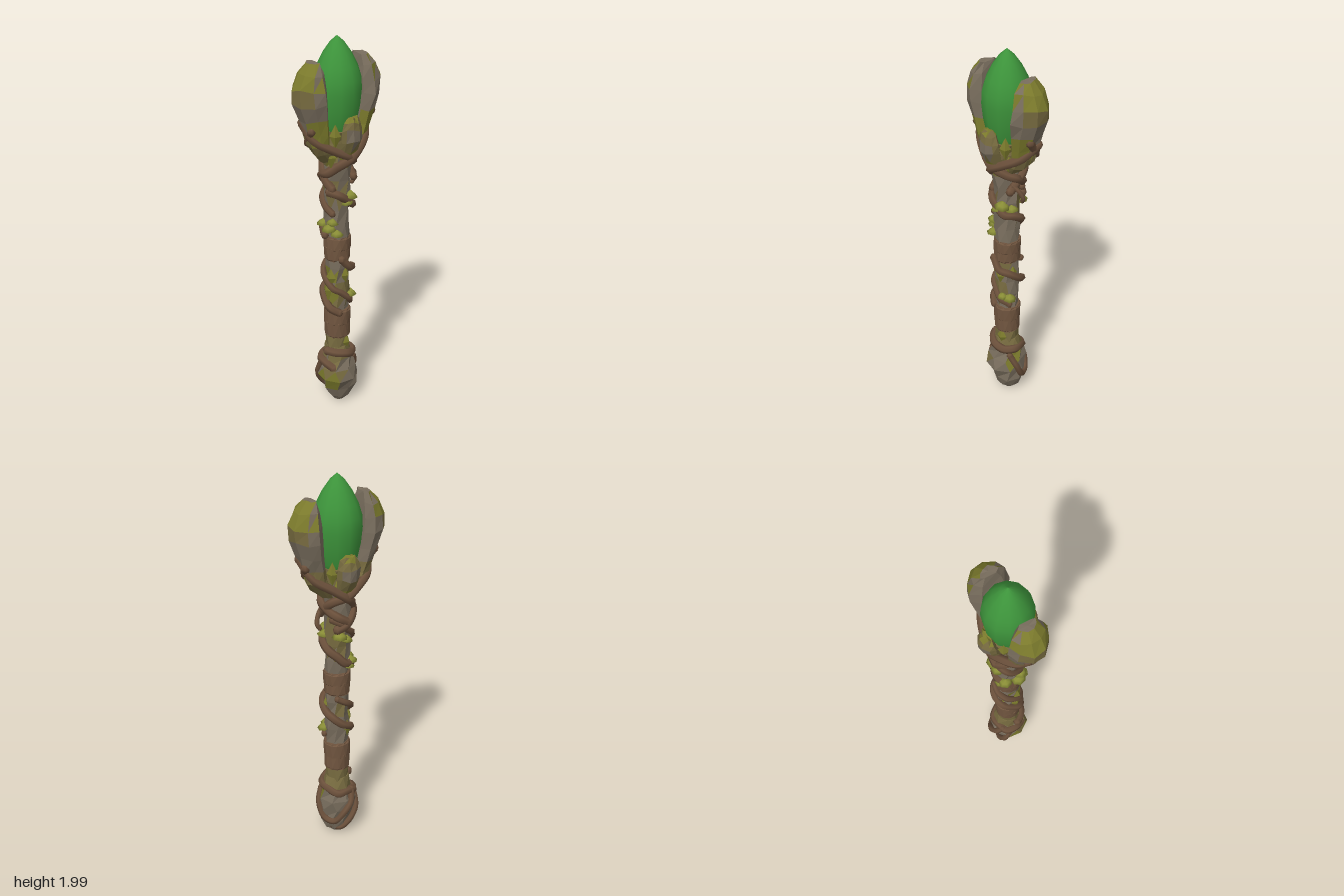
import * as THREE from 'three';

const mat = (name, color) => {
  const m = new THREE.MeshStandardMaterial({ color });
  m.name = name;
  return m;
};

// Seeded noise in -1..1
const noise = (a, b = 0) => {
  const s = Math.sin(a * 127.1 + b * 311.7) * 43758.5453;
  return 2 * (s - Math.floor(s)) - 1;
};

const polar = (deg, y, r) => {
  const a = THREE.MathUtils.degToRad(deg); // 0 is the front, 90 is +x
  return new THREE.Vector3(Math.sin(a) * r, y, Math.cos(a) * r);
};

const middle = points => points.reduce((s, p) => s.add(p), new THREE.Vector3()).divideScalar(points.length);

// Faceted skin over stacked rings; pick(centre, normal) selects a face's material
function loft(rings, pick = () => 0) {
  const sets = [[], [], []];
  const n = rings[0].length;
  const tri = (p, q, r) => {
    const normal = q.clone().sub(p).cross(r.clone().sub(p)).normalize();
    sets[pick(middle([p, q, r]), normal)].push(p, q, r);
  };
  const low = rings[0], high = rings[rings.length - 1];
  const lowMid = middle(low), highMid = middle(high);
  for (let i = 0; i < n; i++) {
    const k = (i + 1) % n;
    for (let j = 0; j < rings.length - 1; j++) {
      tri(rings[j][i], rings[j][k], rings[j + 1][k]);
      tri(rings[j][i], rings[j + 1][k], rings[j + 1][i]);
    }
    tri(lowMid, low[k], low[i]);
    tri(highMid, high[i], high[k]);
  }
  const g = new THREE.BufferGeometry().setFromPoints(sets.flat());
  let start = 0;
  sets.forEach((set, i) => {
    g.addGroup(start, set.length, i);
    start += set.length;
  });
  g.computeVertexNormals();
  return g;
}

// Rough round rings from [y, radius, x offset]
const roundRings = (profile, sides, rough) => profile.map(([y, r, ox = 0], j) =>
  Array.from({ length: sides }, (_, i) => {
    const p = polar((i + (j % 2) * 0.3) * 360 / sides, y, r * (1 + rough * noise(i + 1, y)));
    p.x += ox;
    return p;
  }));

// Claw rings from [y, inner, outer, half width], growing towards +z
const clawSection = [[.3, 1], [.8, .68], [1, .28], [.6, 0], [-.6, 0], [-1, .28], [-.8, .68], [-.3, 1]];
const clawRings = (profile, seed) => profile.map(([y, inner, outer, w]) =>
  clawSection.map(([u, v], i) => new THREE.Vector3(
    u * w * (1 + .07 * noise(i + seed, y)),
    y + .009 * noise(i + seed, y + 3) * (y < 1.88 ? 1 : .4),
    inner + (outer - inner) * v + .004 * noise(i + seed, y + 7))));

export function createModel() {
  const model = new THREE.Group();
  model.name = 'staff';
  const stone = mat('stone', 0x786d5d);
  const mossyStone = mat('mossy stone', 0x766a3f);
  const moss = mat('moss', 0x7b7a2c);
  const bark = mat('vine bark', 0x6b503b);
  const wrap = mat('leather wrap', 0x70553f);
  const green = mat('gem green', 0x3d943b);
  const fungus = mat('fungus', 0x888c36);
  const rock = [stone, mossyStone, moss];

  const add = (name, geometry, material) => {
    const m = new THREE.Mesh(geometry, material);
    m.name = name;
    model.add(m);
    return m;
  };

  // Stone shaft, flaring into a cup, with mossy patches mostly on the front
  const shaft = [[.27, .07], [.34, .062], [.42, .06], [.5, .06], [.58, .06], [.66, .064], [.74, .06],
    [.82, .064], [.9, .06], [.98, .062], [1.06, .064], [1.14, .062], [1.22, .068], [1.3, .07],
    [1.37, .072], [1.44, .085], [1.5, .095], [1.56, .1]];
  add('shaft', loft(roundRings(shaft, 8, .1), (c, n) => {
    const v = noise(Math.round(Math.atan2(n.x, n.z) * 1.3), Math.round(c.y * 9));
    if ((c.y > .33 && c.y < .42) || c.y > 1.46) return 1;
    if (n.z < -.3) return v > .75 ? 1 : 0;
    return v > .75 ? 2 : v > .4 ? 1 : 0;
  }), rock);

  // Lumpy pommel
  const pommel = [[.008, .032, .012], [.04, .062, .015], [.1, .087, .014], [.17, .106, 0], [.23, .098, 0],
    [.29, .079, .008], [.36, .062, 0]];
  add('pommel', loft(roundRings(pommel, 8, .09), (c, n) => {
    const left = c.x < -.04 && n.z > -.2, right = c.x > .05 && n.z > -.2;
    if ((left && c.y > .12 && c.y < .2) || (right && c.y > .2 && c.y < .28)) return 2;
    return (left && c.y > .08) || c.y > .29 ? 1 : 0;
  }), rock);

  // Leather grips: two slightly tilted, overlapping bands each
  for (const [base, top] of [[.415, .578], [.862, .992]]) {
    const mid = (base + top) / 2;
    for (const [y0, y1, r, tilt] of [[base, mid + .02, .068, .04], [mid - .01, top, .07, -.05]]) {
      const band = add('gripBand', loft(roundRings(
        [[y0 - mid, r - .004], [y0 - mid + .01, r], [y1 - mid - .01, r], [y1 - mid, r - .005]], 12, .025)), [wrap, wrap, wrap]);
      band.position.y = mid;
      band.rotation.z = tilt;
    }
  }

  // Gem: smooth pointed egg
  const gemProfile = [[0, 1.46], [.07, 1.51], [.095, 1.58], [.112, 1.66], [.12, 1.74], [.117, 1.8],
    [.099, 1.86], [.069, 1.92], [.034, 1.97], [0, 2]].map(p => new THREE.Vector2(...p));
  add('gem', new THREE.LatheGeometry(gemProfile, 12), green);

  // Large claws at the sides, small ones front and back
  const large = [[1.4, .03, .09, .045], [1.45, .06, .14, .062], [1.5, .08, .172, .07], [1.56, .09, .19, .076],
    [1.63, .1, .212, .09], [1.71, .11, .243, .102], [1.78, .115, .247, .1], [1.85, .122, .215, .08], [1.897, .13, .172, .045]];
  const small = [[1.41, .04, .085, .04], [1.46, .06, .118, .052], [1.52, .075, .146, .06],
    [1.575, .085, .15, .06], [1.61, .095, .14, .048], [1.63, .1, .125, .03]];
  for (const s of [1, -1]) {
    const side = add('sideClaw', loft(clawRings(large, 4 + s), (c, n) => {
      if (c.y > 1.78 && n.z > .3) return 2;
      if (c.y > 1.5 && c.y < 1.62 && n.x * s < -.5) return 2;
      return (c.y > 1.7 && n.z > .6) || c.y < 1.55 ? 1 : 0;
    }), rock);
    side.rotation.y = s * Math.PI / 2;
    const end = add('smallClaw', loft(clawRings(small, 9 + s), (c, n) => {
      if (n.y > .5 || c.y < 1.45) return 2;
      return n.y > .1 || c.y < 1.5 || Math.abs(n.x) > .75 ? 1 : 0;
    }), rock);
    end.rotation.y = s > 0 ? 0 : Math.PI;
  }

  // Vines through [angle, y, radius]
  const vine = (points, radius) => {
    const curve = new THREE.CatmullRomCurve3(points.map(p => polar(...p)));
    add('vine', new THREE.TubeGeometry(curve, points.length * 7, radius, 6), bark);
    for (const end of [points[0], points[points.length - 1]]) {
      add('vineTip', new THREE.SphereGeometry(radius, 6, 4), bark).position.copy(polar(...end));
    }
  };
  const helix = (a0, y0, a1, y1, r, seed) => {
    const n = Math.ceil(Math.abs(a1 - a0) / 40);
    return Array.from({ length: n + 1 }, (_, i) =>
      [a0 + (a1 - a0) * i / n, y0 + (y1 - y0) * i / n + .012 * noise(i, seed), r + .006 * noise(i + 5, seed)]);
  };
  // Strands along the shaft
  vine(helix(-20, .87, 330, .56, .07, 1), .021);
  vine(helix(150, .86, 420, .6, .067, 2), .017);
  vine(helix(-70, 1.25, 260, 1, .07, 7), .022);
  vine(helix(130, 1.3, 300, 1.12, .07, 8), .018);
  vine([[70, 1.33, .08], [85, 1.3, .105], [92, 1.265, .115], [95, 1.245, .105]], .012);
  // Strands rising from the shaft and gripping the claws
  vine([[98, 1.58, .19], [75, 1.51, .15], [40, 1.46, .108], [0, 1.42, .097], ...helix(-45, 1.37, -210, 1.25, .075, 3)], .024);
  vine([[-98, 1.61, .195], [-80, 1.53, .168], [-45, 1.47, .11], [0, 1.43, .095], ...helix(45, 1.4, 190, 1.28, .076, 4)], .022);
  vine([[82, 1.61, .195], [105, 1.52, .16], [140, 1.46, .108], [180, 1.41, .095], ...helix(225, 1.36, 300, 1.26, .075, 5)], .023);
  vine([[-80, 1.58, .185], [-105, 1.5, .15], [-140, 1.46, .108], [-180, 1.42, .095], ...helix(-225, 1.38, -300, 1.3, .076, 6)], .022);
  // Strands around the pommel
  vine(helix(-80, .345, 310, .25, .077, 9), .024);
  vine([[60, .27, .085], [80, .2, .103], [105, .12, .096], [140, .11, .096], [170, .17, .105], [195, .22, .1], [215, .28, .082]], .018);
  vine([[250, .26, .085], [225, .16, .102], [195, .08, .08], [160, .045, .06], [120, .06, .065]], .017);

  // Shelf fungi: pointed caps
  const shelf = [[0, -.024], [.022, -.014], [.04, -.004], [.026, .012], [0, .03]].map(p => new THREE.Vector2(...p));
  const shelfGeometry = new THREE.LatheGeometry(shelf, 7);
  for (const [deg, y, size] of [[30, 1.21, 1], [70, 1.19, .85], [5, 1.185, .8], [160, 1.2, 1], [190, 1.18, .85],
    [-60, 1.08, .8], [-75, 1.045, 1], [-40, 1.02, .85], [225, 1.05, .9], [205, 1.03, .8], [60, .65, .9], [30, .66, .7]]) {
    const cap = add('shelfFungus', shelfGeometry, fungus);
    cap.position.copy(polar(deg, y, .068));
    cap.rotation.z = .25 * noise(deg, y);
    cap.scale.setScalar(size);
  }

  // Moss tufts on the shaft, the claws and around the base of the gem
  for (const [deg, y, r, h] of [[-85, .7, .065, .08], [-70, .77, .06, .05], [10, .78, .055, .05], [80, .8, .058, .05],
    [-60, 1.43, .085, .06], [55, 1.46, .085, .05], [150, 1.45, .085, .06], [-150, .66, .058, .05], [20, .38, .055, .05],
    [-90, 1.56, .17, .06], [90, 1.53, .165, .05], [45, 1.54, .095, .06], [-45, 1.54, .095, .06],
    [135, 1.54, .095, .06], [-135, 1.54, .095, .06]]) {
    const tuft = add('mossTuft', new THREE.OctahedronGeometry(1, 0), moss);
    tuft.position.copy(polar(deg, y, r));
    tuft.rotation.y = THREE.MathUtils.degToRad(deg);
    tuft.scale.set(.028, h, .02);
  }
  return model;
}
